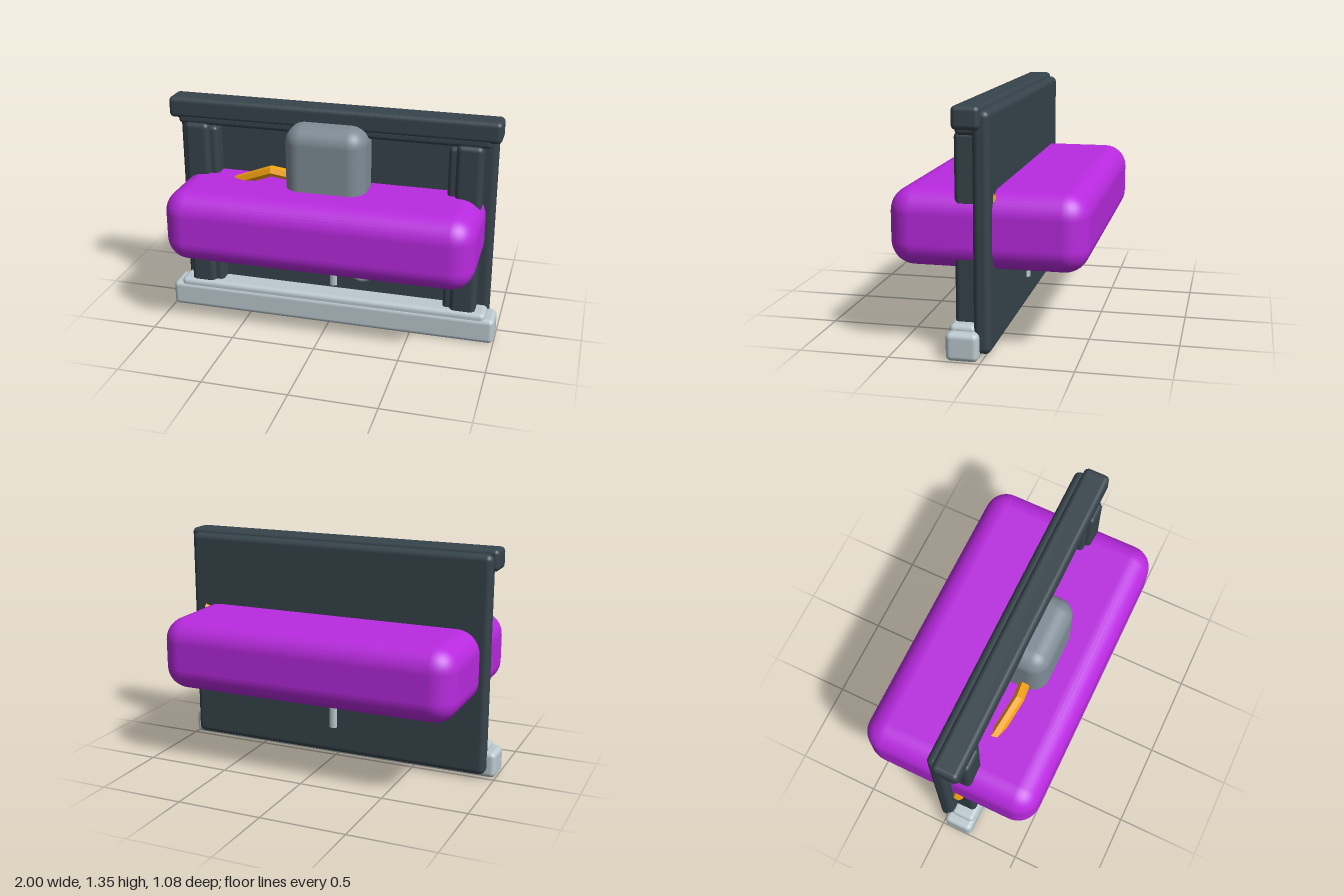
import * as THREE from 'three';
import { RoundedBoxGeometry } from 'three/addons/geometries/RoundedBoxGeometry.js';

const mat = (color) => new THREE.MeshStandardMaterial({ color });
const dark = mat(0x37444c), pale = mat(0xbccad0), grey = mat(0x7f8d96);
const purple = mat(0xb92ae0), white = mat(0xf0f2f4), black = mat(0x22282c);
const orange = mat(0xf5a30f);
orange.flatShading = true;

export function createModel() {
  const model = new THREE.Group();
  model.name = 'wallPanelUnit';

  const add = (name, geometry, material) => {
    const mesh = new THREE.Mesh(geometry, material);
    mesh.name = name;
    model.add(mesh);
    return mesh;
  };
  // Rounded block given by its limits on each axis
  const block = (name, material, [x0, x1], [y0, y1], [z0, z1], r) => {
    const g = new RoundedBoxGeometry(x1 - x0, y1 - y0, z1 - z0, 5, r);
    g.translate((x0 + x1) / 2, (y0 + y1) / 2, (z0 + z1) / 2);
    return add(name, g, material);
  };

  // Upright panel with its top rail and base
  block('panel', dark, [-0.95, 0.95], [0.03, 1.32], [-0.045, 0.05], 0.035);
  block('topRail', dark, [-0.975, 0.975], [1.22, 1.345], [0, 0.153], 0.028);
  block('topRailLip', dark, [-0.92, 0.92], [1.187, 1.25], [0.02, 0.148], 0.025);
  block('base', pale, [-1, 1], [0, 0.155], [0.013, 0.19], 0.03);
  block('baseStep', pale, [-0.945, 0.945], [0.09, 0.185], [0.035, 0.183], 0.028);

  // Side posts, mirrored
  for (const s of [-1, 1]) {
    const side = s > 0 ? 'left' : 'right';
    const span = (a, b) => (s > 0 ? [a, b] : [-b, -a]);
    block(side + 'Post', dark, span(0.73, 0.88), [0.16, 1.2], [0.03, 0.165], 0.03);
    block(side + 'PostInner', dark, span(0.685, 0.82), [0.16, 1.178], [0.02, 0.135], 0.025);
  }

  // Large body passing through the panel, and the housing on top of it
  block('body', purple, [-0.9, 0.9], [0.46, 0.89], [-0.54, 0.54], 0.135);
  block('housing', grey, [-0.238, 0.235], [0.6, 1.264], [0, 0.298], 0.1);

  // Central bar
  const bar = new THREE.CylinderGeometry(1, 1, 0.45, 12);
  bar.scale(0.039, 1, 0.063);
  bar.translate(-0.002, 0.42, 0);
  add('centralBar', bar, grey).material = pale;

  // Rings on the front face
  const ring = (name, material, x, y, R, r) =>
    add(name, new THREE.TorusGeometry(R, r, 12, 36), material).position.set(x, y, 0.055);
  ring('paleRing', white, -0.42, 0.55, 0.095, 0.03);
  ring('darkRing', black, 0.44, 0.49, 0.092, 0.015);
  ring('smallRing', grey, 0.18, 0.33, 0.071, 0.015);

  // Angular cable with straight runs
  const cable = new THREE.CurvePath();
  const points = [
    [-0.9, 0.53, 0.08], [-0.74, 0.78, 0.11], [-0.54, 0.875, 0.165], [-0.33, 0.965, 0.2],
    [-0.14, 0.93, 0.18], [0.15, 0.82, 0.1], [0.55, 0.8, 0.02], [0.87, 0.86, -0.03],
  ].map((p) => new THREE.Vector3(...p));
  for (let i = 1; i < points.length; i++) cable.add(new THREE.LineCurve3(points[i - 1], points[i]));
  // Sample by corner so that every bend stays crisp
  cable.getPointAt = (t, target) => cable.sample(t, target);
  cable.sample = (t, target = new THREE.Vector3()) => {
    const f = t * (points.length - 1), i = Math.min(Math.floor(f), points.length - 2);
    return target.lerpVectors(points[i], points[i + 1], f - i);
  };
  cable.getTangentAt = (t, target = new THREE.Vector3()) =>
    target.copy(cable.sample(Math.min(1, t + 0.02)))
      .sub(cable.sample(Math.max(0, t - 0.02))).normalize();
  add('cable', new THREE.TubeGeometry(cable, points.length - 1, 0.032, 6), orange);
  // Closed cable ends
  for (const [i, j] of [[0, 1], [points.length - 1, points.length - 2]]) {
    const cap = add('cableEnd', new THREE.CircleGeometry(0.032, 6), orange);
    cap.position.copy(points[i]);
    cap.lookAt(points[i].clone().multiplyScalar(2).sub(points[j]));
  }

  return model;
}
